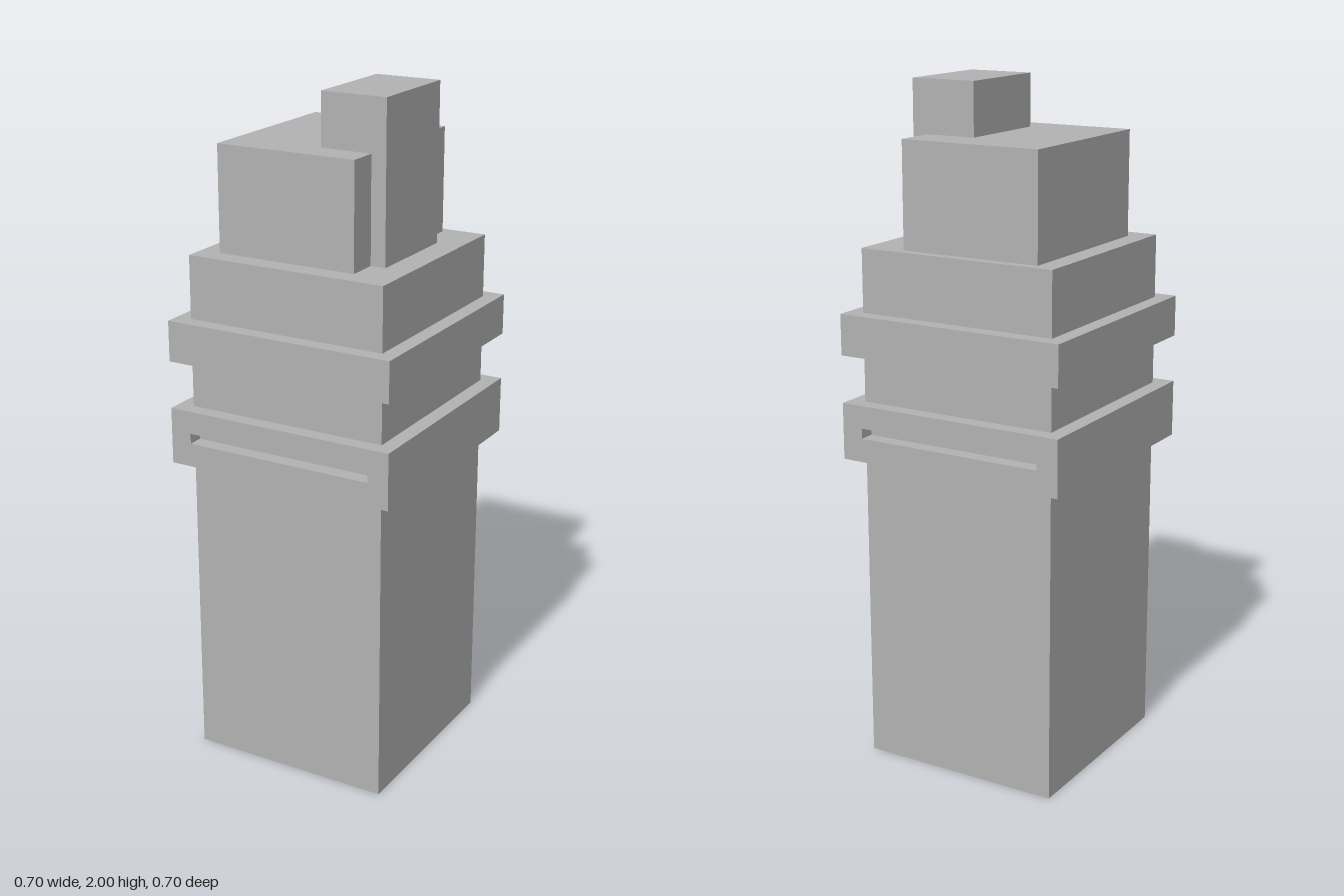
import * as THREE from 'three';

export function createModel() {
  const model = new THREE.Group();
  model.name = 'tower';
  const grey = new THREE.MeshStandardMaterial({ name: 'grey', color: 0xb2b2b2 });

  const add = (name, geometry) => {
    const mesh = new THREE.Mesh(geometry, grey);
    mesh.name = name;
    model.add(mesh);
    return mesh;
  };

  // Box given by its lower and upper corners
  const block = (name, [x0, y0, z0], [x1, y1, z1]) =>
    add(name, new THREE.BoxGeometry(x1 - x0, y1 - y0, z1 - z0))
      .position.set((x0 + x1) / 2, (y0 + y1) / 2, (z0 + z1) / 2);

  const rectangle = (path, x0, y0, x1, y1) =>
    path.moveTo(x0, y0).lineTo(x1, y0).lineTo(x1, y1).lineTo(x0, y1).closePath();

  const body = 0.306; // half width of the shaft
  const band = 0.352; // half width of the projecting bands

  // Main shaft and upper band
  block('shaft', [-body, 0, -body], [body, 1.54, body]);
  block('upperBand', [-band, 1.235, -band], [band, 1.355, band]);

  // Lower band, slotted front and back; the shaft closes the slots behind
  const outline = rectangle(new THREE.Shape(), -band, 0.928, band, 1.095);
  outline.holes.push(rectangle(new THREE.Path(), -0.288, 0.998, 0.288, 1.028));
  add('slottedBand', new THREE.ExtrudeGeometry(outline, { depth: band * 2, bevelEnabled: false }))
    .position.z = -band;

  // Roof block and the taller core rising at its left side
  block('roofBlock', [-0.245, 1.54, -0.277], [0.184, 1.847, 0.244]);
  block('roofCore', [0.03, 1.54, -0.153], [0.229, 2, 0.153]);

  return model;
}
